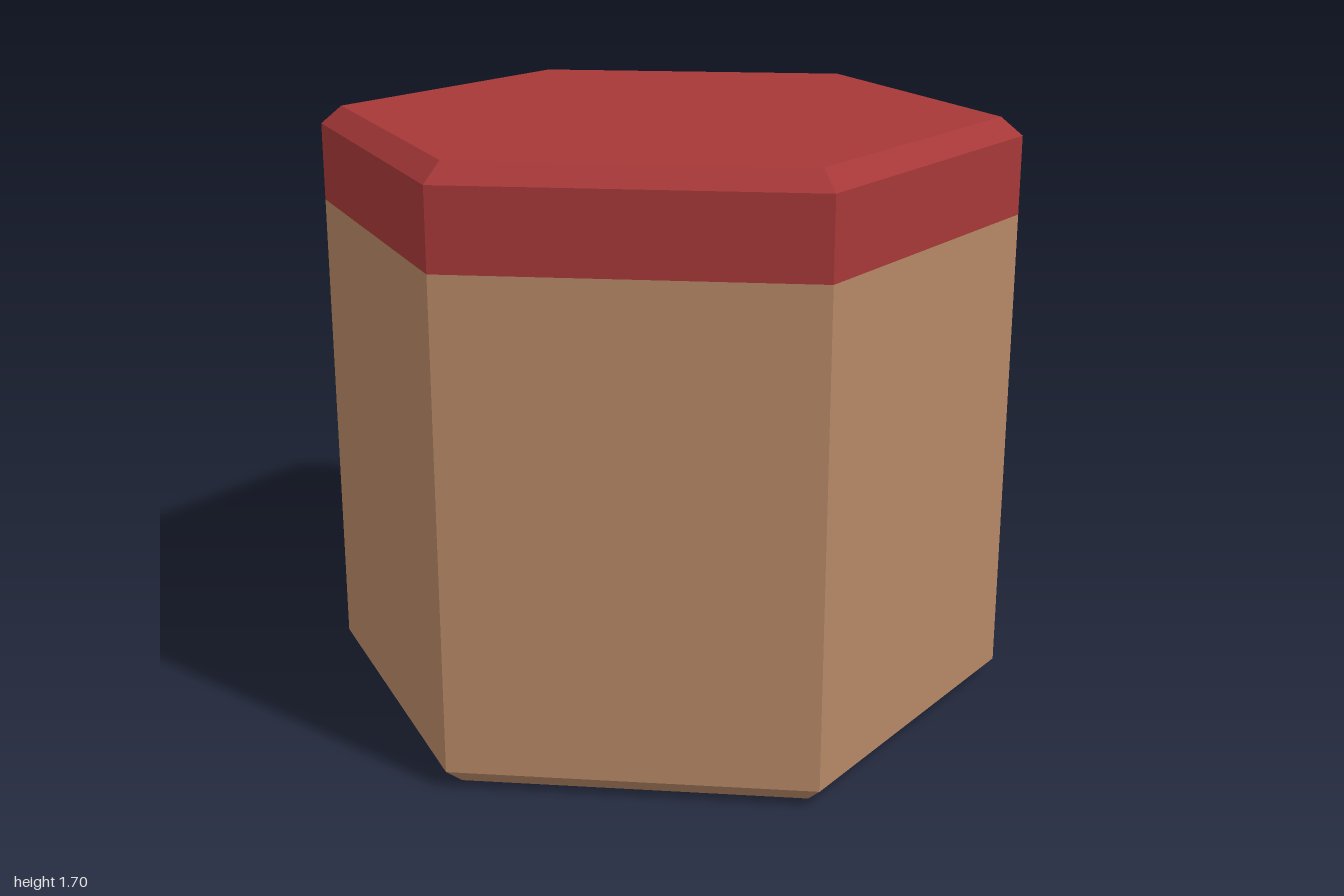
import * as THREE from 'three';

const RADIUS = 1, BEVEL_RADIUS = 0.938, HEIGHT = 1.7, BEVEL = 0.052, BAND_Y = 1.425;

const material = (name, color) => {
  const m = new THREE.MeshStandardMaterial({ color, flatShading: true });
  m.name = name;
  return m;
};

// Six-sided solid of revolution from [radius, y] pairs listed bottom to top
function hexPart(name, profile, mat) {
  const points = profile.map(([r, y]) => new THREE.Vector2(r, y));
  const mesh = new THREE.Mesh(new THREE.LatheGeometry(points, 6), mat);
  mesh.name = name;
  return mesh;
}

export function createModel() {
  const group = new THREE.Group();
  group.name = 'hexagonalBlock';

  // Earth body with chamfered bottom edge
  group.add(hexPart('body', [
    [0, 0], [BEVEL_RADIUS, 0], [RADIUS, BEVEL], [RADIUS, BAND_Y],
  ], material('earthBrown', 0xb58766)));

  // Red top layer with chamfered upper edge
  group.add(hexPart('topLayer', [
    [RADIUS, BAND_Y], [RADIUS, HEIGHT - BEVEL], [BEVEL_RADIUS, HEIGHT], [0, HEIGHT],
  ], material('topRed', 0xa63838)));

  return group;
}
